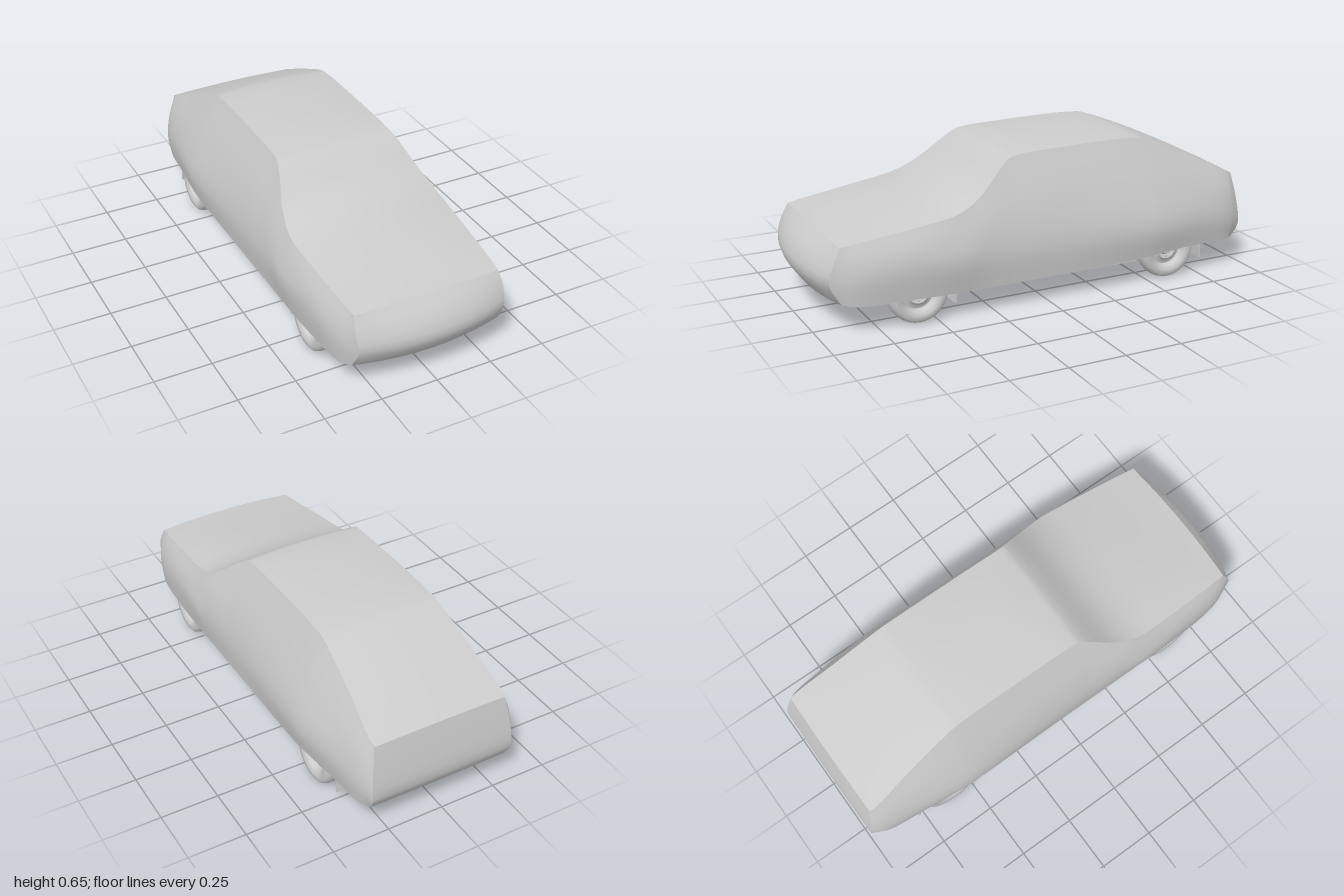
import * as THREE from 'three';
import { toCreasedNormals } from 'three/addons/utils/BufferGeometryUtils.js';

const grey = new THREE.MeshStandardMaterial({ color: 0xcccccc, side: THREE.DoubleSide });
const V = (x, y, z) => new THREE.Vector3(x, y, z);

function add(parent, name, geometry, x = 0, y = 0, z = 0) {
  const mesh = new THREE.Mesh(geometry, grey);
  mesh.name = name;
  mesh.position.set(x, y, z);
  parent.add(mesh);
  return mesh;
}
const box = (parent, name, w, h, d, x, y, z) => add(parent, name, new THREE.BoxGeometry(w, h, d), x, y, z);

// A round bar that follows a few points
function bar(parent, name, radius, points, segments = 16) {
  const path = new THREE.CatmullRomCurve3(points.map((p) => V(...p)));
  return add(parent, name, new THREE.TubeGeometry(path, segments, radius, 8));
}

// Skin over rows of points
function skin(rows, crease) {
  const n = rows[0].length, index = [];
  for (let i = 0; i < rows.length - 1; i++) {
    for (let j = 0; j < n - 1; j++) {
      const a = i * n + j, b = a + n;
      index.push(a, b, a + 1, a + 1, b, b + 1);
    }
  }
  const geometry = new THREE.BufferGeometry().setFromPoints(rows.flat());
  geometry.setIndex(index);
  return toCreasedNormals(geometry, crease);
}

// Half sections: z, then x,y of hem, widest line, shoulder and ridge, then crown height
const sections = [
  [0.85, 0.36, 0.12, 0.37, 0.23, 0.355, 0.31, 0.33, 0.37, 0.38],
  [0.6, 0.38, 0.115, 0.395, 0.25, 0.38, 0.33, 0.345, 0.403, 0.428],
  [0.4, 0.38, 0.11, 0.403, 0.25, 0.38, 0.35, 0.35, 0.435, 0.47],
  [0.29, 0.38, 0.11, 0.395, 0.25, 0.375, 0.37, 0.327, 0.49, 0.515],
  [0.14, 0.38, 0.11, 0.39, 0.25, 0.355, 0.41, 0.272, 0.612, 0.623],
  [0.09, 0.38, 0.11, 0.39, 0.25, 0.352, 0.42, 0.266, 0.624, 0.633],
  [-0.06, 0.38, 0.11, 0.39, 0.25, 0.35, 0.425, 0.265, 0.63, 0.645],
  [-0.48, 0.385, 0.12, 0.406, 0.25, 0.354, 0.42, 0.265, 0.627, 0.637],
  [-0.54, 0.385, 0.127, 0.406, 0.25, 0.354, 0.415, 0.268, 0.61, 0.622],
  [-0.75, 0.365, 0.13, 0.382, 0.25, 0.346, 0.385, 0.285, 0.517, 0.53],
  [-0.93, 0.342, 0.125, 0.356, 0.22, 0.34, 0.335, 0.303, 0.43, 0.44],
];
const noseEdge = [V(0.335, 0.13, 0.905), V(0.328, 0.22, 0.95), V(0.333, 0.3, 0.93), V(0.325, 0.362, 0.9)];
const tailEdge = [V(0.315, 0.12, -0.965), V(0.325, 0.18, -0.995), V(0.318, 0.31, -0.98), V(0.3, 0.417, -0.958)];
const noseCrown = V(0, 0.01, 0.01), tailCrown = V(0, 0.006, -0.003);

const SIDE = 9, ACROSS = 12;
const sidePoints = (edge) => new THREE.CatmullRomCurve3(edge).getPoints(SIDE);

// Points from one side to the other, bowed in the middle
function across(p, bow) {
  return Array.from({ length: ACROSS + 1 }, (_, k) => {
    const t = 1 - (2 * k) / ACROSS;
    return V(p.x * t, p.y, p.z).addScaledVector(bow, 1 - t * t);
  });
}

// One full hoop from left hem over the top to right hem
function hoop(edge, crown) {
  const side = sidePoints(edge);
  const other = side.map((p) => V(-p.x, p.y, p.z)).reverse();
  return [...side.slice(0, -1), ...across(side[SIDE], crown), ...other.slice(1)];
}

function buildCover(group) {
  const hoops = [
    hoop(noseEdge, noseCrown),
    ...sections.map(([z, ...s]) => hoop([0, 2, 4, 6].map((i) => V(s[i], s[i + 1], z)), V(0, s[8] - s[7], 0))),
    hoop(tailEdge, tailCrown),
  ];
  const steps = (hoops.length - 1) * 4;
  const lines = hoops[0].map((_, j) => new THREE.CatmullRomCurve3(hoops.map((h) => h[j])).getPoints(steps));
  const rows = Array.from({ length: steps + 1 }, (_, i) => lines.map((line) => line[i]));
  add(group, 'bodyCover', skin(rows, 0.65));

  // Rounded nose, tucked under at the bottom
  const nose = sidePoints(noseEdge).reverse().map((p, i) => {
    const u = i / SIDE;
    return across(p, V(0, 0.01 * (1 - 2 * u), 0.01 + 0.04 * Math.sin(Math.PI * u * 0.75))).reverse();
  });
  nose.push(across(V(0.29, 0.1, 0.85), V(0, -0.004, 0.03)).reverse());
  nose.push(across(V(0.24, 0.088, 0.76), V(0, 0, 0.01)).reverse());
  add(group, 'noseCover', skin(nose, 0.8));

  const tail = sidePoints(tailEdge).reverse().map((p, i) =>
    across(p, V(0, 0.006 * (1 - i / SIDE), -0.003)));
  add(group, 'tailCover', skin(tail, 0.8));
}

function buildWheel(parent, side, z, name) {
  const wheel = new THREE.Group();
  wheel.name = name;
  wheel.position.set(side * 0.328, 0.128, z);
  wheel.rotation.z = -side * Math.PI / 2;
  parent.add(wheel);
  const lathe = (part, pts) => add(wheel, part,
    toCreasedNormals(new THREE.LatheGeometry(pts.map((p) => new THREE.Vector2(...p)), 32), 0.7));
  lathe('tyre', [[0.08, -0.032], [0.092, -0.041], [0.112, -0.041], [0.123, -0.032], [0.128, -0.014],
    [0.128, 0.014], [0.123, 0.032], [0.112, 0.041], [0.092, 0.041], [0.08, 0.032]]);
  lathe('rim', [[0.08, -0.032], [0.072, -0.026], [0.07, 0.01], [0.074, 0.026], [0.08, 0.032]]);
  lathe('wheelDisc', [[0.072, 0.008], [0.056, 0.01], [0.044, 0.022], [0.028, 0.014], [0.022, 0.026], [0, 0.028]]);
  add(wheel, 'brakeDrum', new THREE.CylinderGeometry(0.052, 0.052, 0.04, 24), 0, -0.018, 0);
  for (let i = 0; i < 5; i++) {
    const a = (i / 5) * Math.PI * 2;
    add(wheel, 'wheelNut', new THREE.CylinderGeometry(0.005, 0.005, 0.008, 6), 0.033 * Math.cos(a), 0.02, 0.033 * Math.sin(a));
  }
}

function buildUnderbody(group) {
  const under = new THREE.Group();
  under.name = 'underbody';
  group.add(under);
  // Floor panels, tunnel and cross members
  box(under, 'floor', 0.74, 0.012, 0.86, 0, 0.136, -0.03);
  box(under, 'engineBayFloor', 0.46, 0.012, 0.46, 0, 0.18, 0.63);
  box(under, 'rearFloor', 0.5, 0.012, 0.5, 0, 0.2, -0.7);
  box(under, 'bootFloor', 0.64, 0.012, 0.2, 0, 0.16, -0.86);
  box(under, 'tunnel', 0.09, 0.012, 0.82, 0, 0.126, 0);
  for (const z of [0.36, 0.02, -0.43]) box(under, 'crossMember', 0.62, 0.014, 0.03, 0, 0.124, z);
  box(under, 'frontCrossMember', 0.44, 0.035, 0.05, 0, 0.125, 0.58);
  box(under, 'radiatorSupport', 0.52, 0.04, 0.025, 0, 0.13, 0.84);
  box(under, 'engineSump', 0.13, 0.05, 0.18, 0, 0.14, 0.65);
  box(under, 'gearbox', 0.08, 0.04, 0.2, 0, 0.14, 0.42);
  box(under, 'fuelTank', 0.24, 0.05, 0.16, -0.12, 0.165, -0.84);
  for (const s of [-1, 1]) {
    box(under, 'sill', 0.025, 0.03, 0.82, s * 0.36, 0.122, -0.02);
    box(under, 'floorRail', 0.03, 0.014, 0.4, s * 0.2, 0.124, 0.19);
    box(under, 'frontRail', 0.035, 0.035, 0.48, s * 0.22, 0.155, 0.62);
    box(under, 'rearRail', 0.03, 0.035, 0.5, s * 0.235, 0.18, -0.68);
    bar(under, 'lowerArm', 0.01, [[s * 0.14, 0.12, 0.58], [s * 0.3, 0.105, 0.58]], 4);
    bar(under, 'strutRod', 0.008, [[s * 0.22, 0.125, 0.78], [s * 0.29, 0.108, 0.59]], 4);
    bar(under, 'frontStrut', 0.018, [[s * 0.29, 0.12, 0.58], [s * 0.26, 0.33, 0.56]], 4);
    bar(under, 'trailingArm', 0.01, [[s * 0.22, 0.125, -0.36], [s * 0.25, 0.12, -0.6]], 4);
    bar(under, 'rearDamper', 0.014, [[s * 0.23, 0.11, -0.63], [s * 0.2, 0.3, -0.68]], 4);
    box(under, 'frontMudFlap', 0.12, 0.07, 0.008, s * 0.3, 0.096, 0.42).rotation.x = -0.08;
    box(under, 'rearMudFlap', 0.11, 0.085, 0.008, s * 0.3, 0.103, -0.77).rotation.x = 0.08;
  }
  // Running gear
  bar(under, 'rearAxle', 0.02, [[-0.3, 0.128, -0.6], [0.3, 0.128, -0.6]], 4);
  add(under, 'differential', new THREE.SphereGeometry(0.045, 20, 14), 0, 0.132, -0.6);
  bar(under, 'driveShaft', 0.013, [[0, 0.128, 0.34], [0, 0.128, -0.58]], 4);
  bar(under, 'trackRod', 0.006, [[-0.29, 0.12, 0.5], [0.29, 0.12, 0.5]], 4);
  bar(under, 'antiRollBar', 0.007, [[-0.29, 0.11, 0.6], [-0.24, 0.115, 0.74], [0, 0.12, 0.76], [0.24, 0.115, 0.74], [0.29, 0.11, 0.6]], 32);
  // Exhaust
  bar(under, 'exhaustPipe', 0.011, [[0.08, 0.14, 0.62], [0.1, 0.118, 0.45], [0.09, 0.115, 0], [0.1, 0.115, -0.42],
    [0.12, 0.165, -0.6], [0.17, 0.14, -0.75], [0.2, 0.135, -0.94]], 48);
  add(under, 'middleSilencer', new THREE.CylinderGeometry(0.026, 0.026, 0.16, 20), 0.09, 0.117, 0.1).rotation.x = Math.PI / 2;
  add(under, 'rearSilencer', new THREE.CylinderGeometry(0.035, 0.035, 0.16, 20), 0.18, 0.143, -0.83).rotation.x = Math.PI / 2;
}

export function createModel() {
  const group = new THREE.Group();
  group.name = 'coveredCar';
  buildCover(group);
  buildUnderbody(group);
  for (const s of [1, -1]) {
    const label = s > 0 ? 'Left' : 'Right';
    buildWheel(group, s, 0.58, `front${label}Wheel`);
    buildWheel(group, s, -0.6, `rear${label}Wheel`);
  }
  return group;
}
